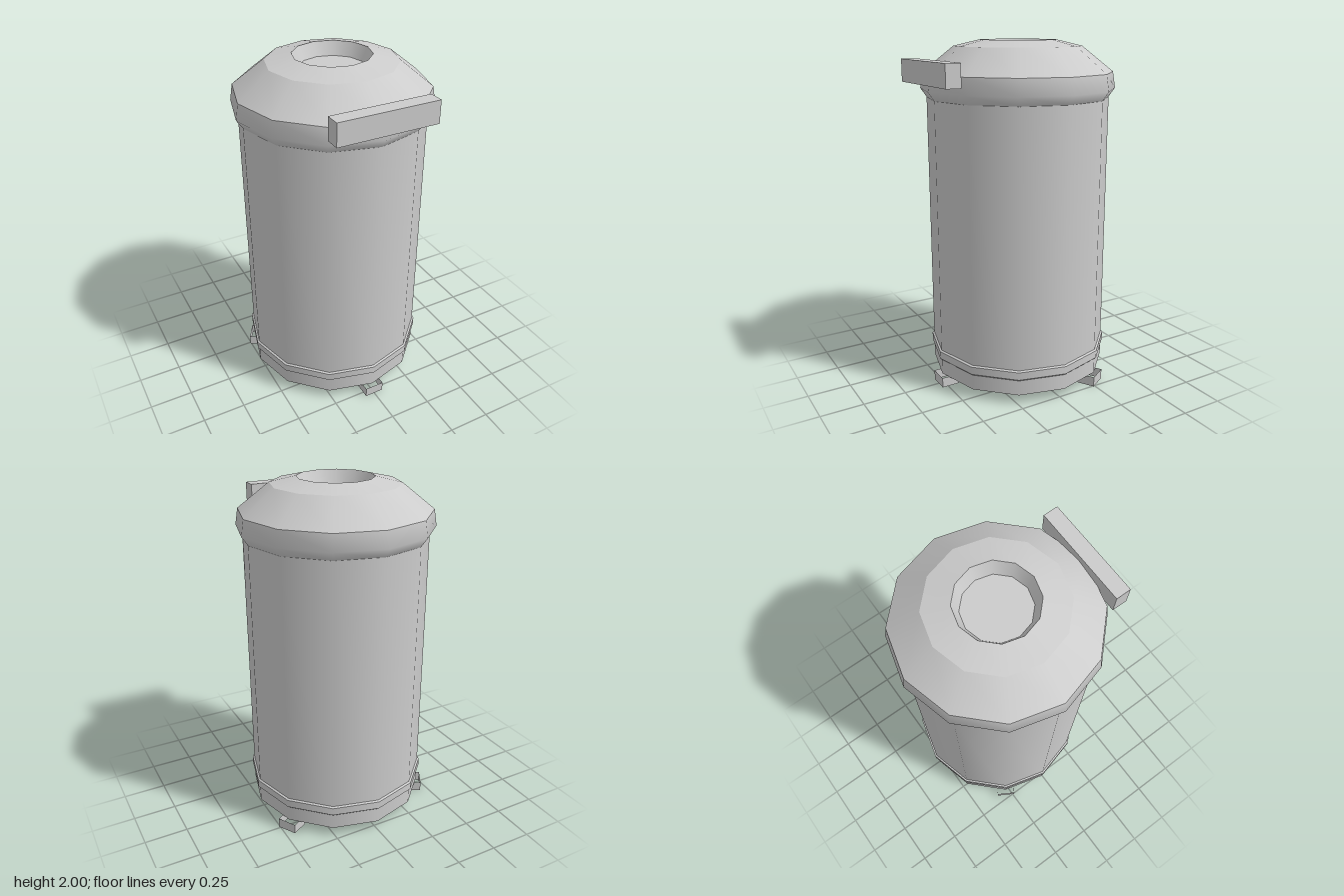
import * as THREE from 'three';

const SIDES = 12;
const AXIS_Z = -0.015;

export function createModel() {
  const model = new THREE.Group();
  model.name = 'canister';
  const grey = new THREE.MeshStandardMaterial({ color: 0xcccccc });
  grey.name = 'grey';
  const greyOpen = new THREE.MeshStandardMaterial({ color: 0xcccccc, side: THREE.DoubleSide });
  greyOpen.name = 'grey';

  // One turned strip; each strip is smooth, and strips meet at sharp edges
  function turned(name, profile) {
    const points = profile.map(([r, y]) => new THREE.Vector2(r, y));
    const mesh = new THREE.Mesh(new THREE.LatheGeometry(points, SIDES), grey);
    mesh.name = name;
    mesh.position.z = AXIS_Z;
    model.add(mesh);
  }

  // Drum
  turned('base', [[0, 0.06], [0.525, 0.06]]);
  turned('body', [[0.525, 0.06], [0.525, 1.68]]);

  // Raised band near the foot of the drum
  turned('bandUnderside', [[0.525, 0.15], [0.536, 0.16]]);
  turned('band', [[0.536, 0.16], [0.536, 0.205]]);
  turned('bandTop', [[0.536, 0.205], [0.525, 0.212]]);

  // Lid with a recessed centre
  turned('lidRim', [[0.525, 1.68], [0.56, 1.73], [0.545, 1.822]]);
  turned('lidSlope', [[0.545, 1.822], [0.365, 1.965]]);
  turned('lidCrown', [[0.365, 1.965], [0.217, 2]]);
  turned('recessWall', [[0.217, 2], [0.182, 1.925]]);
  turned('recessFloor', [[0.182, 1.925], [0, 1.925]]);

  // Front handle bar
  const handle = new THREE.Mesh(new THREE.BoxGeometry(0.58, 0.127, 0.087), grey);
  handle.name = 'handle';
  handle.position.set(0, 1.832, 0.5315);
  model.add(handle);

  // Three hollow square feet, one at the front and two at the back
  const footGeometry = new THREE.CylinderGeometry(Math.SQRT1_2, Math.SQRT1_2, 1, 4, 1, true)
    .toNonIndexed();
  footGeometry.rotateY(Math.PI / 4);
  footGeometry.scale(0.115, 0.06, 0.105);
  footGeometry.translate(0, 0.03, 0.498);
  footGeometry.computeVertexNormals();
  for (let i = 0; i < 3; i++) {
    const foot = new THREE.Mesh(footGeometry, greyOpen);
    foot.name = 'foot';
    foot.position.z = AXIS_Z;
    foot.rotation.y = (i * Math.PI * 2) / 3;
    model.add(foot);
  }

  return model;
}
